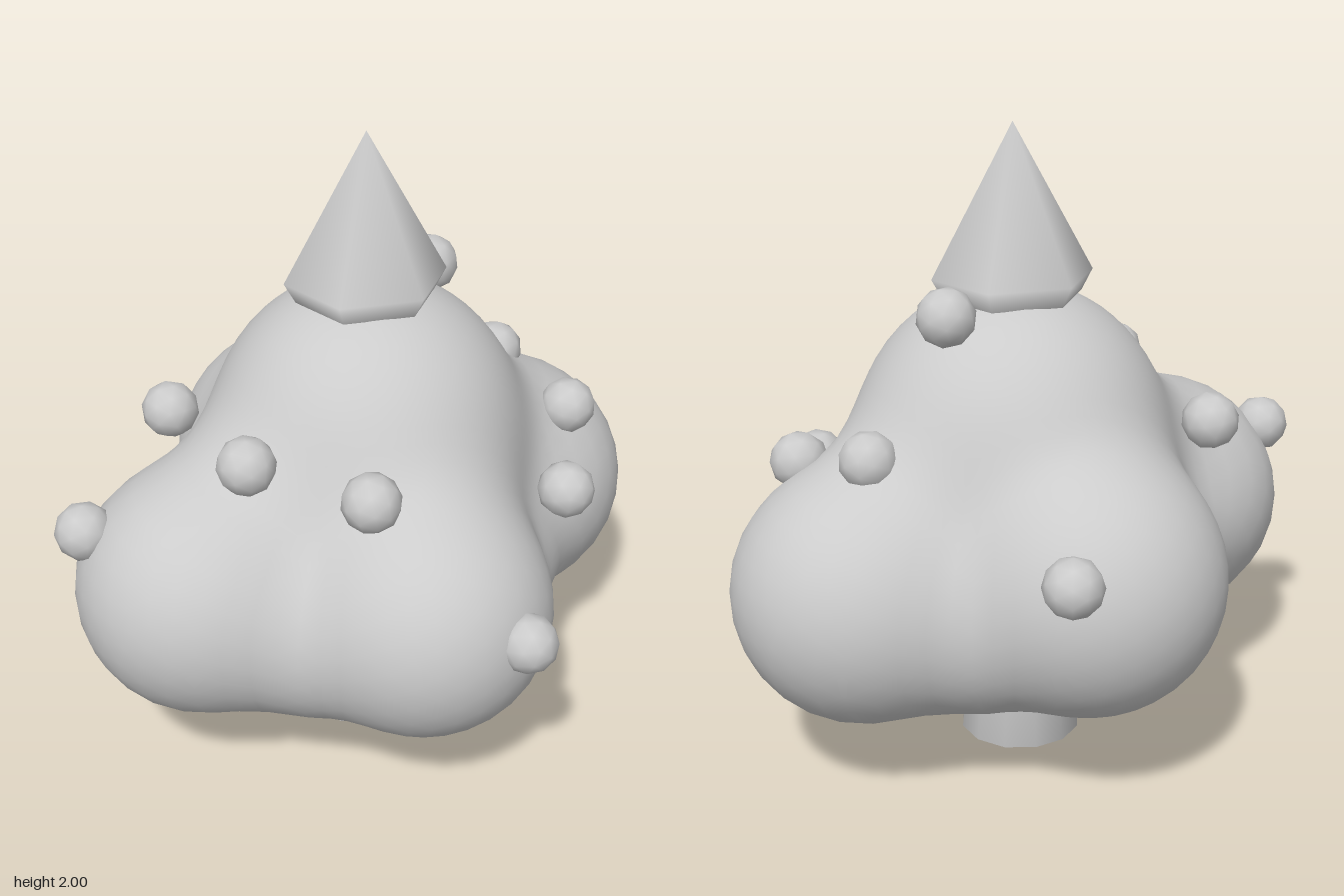
import * as THREE from 'three';
import { mergeVertices } from 'three/addons/utils/BufferGeometryUtils.js';

const material = new THREE.MeshStandardMaterial({ color: 0xcccccc });

// Blended balls that form the foliage: x, y, z, radius
const CORE = [0.04, 0.74, -0.01, 0.46];
const DOME = [0.045, 1.035, -0.03, 0.475];
const LOBES = [
  [-0.525, 0.675, 0.215, 0.392],
  [0.10, 0.67, 0.475, 0.39],
  [0.555, 0.65, -0.22, 0.4],
  [-0.085, 0.71, -0.445, 0.41],
];
const between = (a, b, y, r) => [(a[0] + b[0]) / 2, y, (a[2] + b[2]) / 2, r];
// Slopes fill the valley between the dome and each lobe, webs the gaps between neighbouring lobes
const SLOPES = LOBES.map((lobe) => between(lobe, DOME, 0.86, 0.34));
const WEBS = LOBES.map((lobe, i) => between(lobe, LOBES[(i + 1) % 4], 0.585, 0.295));
const BALLS = [CORE, DOME, ...LOBES, ...SLOPES, ...WEBS];
const FOLIAGE_BASE = 0.285;

// Bauble centres
const BAUBLES = [
  [-0.87, 0.90, 0.18], [-0.55, 1.07, -0.18], [-0.40, 1.155, 0.33], [-0.08, 1.115, 0.54],
  [0.325, 0.73, 0.79], [0.605, 0.89, 0.28], [0.705, 1.005, -0.02], [0.54, 1.09, -0.29],
  [0.285, 1.475, -0.20], [0.07, 0.86, -0.79],
];

// Smooth union of the balls: negative inside the foliage
function distance(p) {
  const k = 0.045;
  let sum = 0;
  for (const [x, y, z, r] of BALLS) {
    const d = Math.hypot(p.x - x, p.y - y, p.z - z) - r;
    sum += Math.exp(-d / k);
  }
  return -k * Math.log(sum);
}

// Weld a geometry so that its normals run smoothly over every edge
function weld(geometry) {
  geometry.deleteAttribute('normal');
  geometry.deleteAttribute('uv');
  const welded = mergeVertices(geometry, 1e-4);
  welded.computeVertexNormals();
  return welded;
}

// Shrink-wrap an icosphere onto the blended balls
function foliageGeometry() {
  const geometry = weld(new THREE.IcosahedronGeometry(1, 12));
  const center = new THREE.Vector3(0.04, 0.75, -0.01);
  const position = geometry.attributes.position;
  const dir = new THREE.Vector3();
  const p = new THREE.Vector3();
  for (let i = 0; i < position.count; i++) {
    dir.fromBufferAttribute(position, i).normalize();
    let t = 1.5;
    for (let step = 0; step < 80; step++) {
      const d = distance(p.copy(center).addScaledVector(dir, t));
      if (d < 0.0005) break;
      t -= d * 0.9;
    }
    position.setXYZ(i, p.x, Math.max(p.y, FOLIAGE_BASE), p.z);
  }
  geometry.computeVertexNormals();
  return geometry;
}

export function createModel() {
  const group = new THREE.Group();
  const add = (name, geometry, x = 0, y = 0, z = 0, parent = group) => {
    const mesh = new THREE.Mesh(geometry, material);
    mesh.name = name;
    mesh.position.set(x, y, z);
    parent.add(mesh);
    return mesh;
  };

  // Tapered trunk running up into the foliage
  add('trunk', weld(new THREE.CylinderGeometry(0.13, 0.195, 0.6, 12)), 0.01, 0.3, 0.005);

  add('foliage', foliageGeometry());

  // Six-sided tip with a short collar below its rim, slightly flattened front to back
  const profile = [[0.215, 1.475], [0.25, 1.54], [0, 2]].map(([r, y]) => new THREE.Vector2(r, y));
  const tip = weld(new THREE.LatheGeometry(profile, 6, Math.PI / 2));
  add('treeTip', tip, 0.04, 0, -0.028).scale.z = 0.9;

  // Baubles scattered over the foliage
  const baubles = new THREE.Group();
  baubles.name = 'baubles';
  const ball = new THREE.IcosahedronGeometry(0.09, 1);
  BAUBLES.forEach(([x, y, z], i) => {
    const mesh = add('bauble', ball, x, y, z, baubles);
    mesh.rotation.set(i * 0.7, i * 1.3, 0);
  });
  group.add(baubles);

  return group;
}
